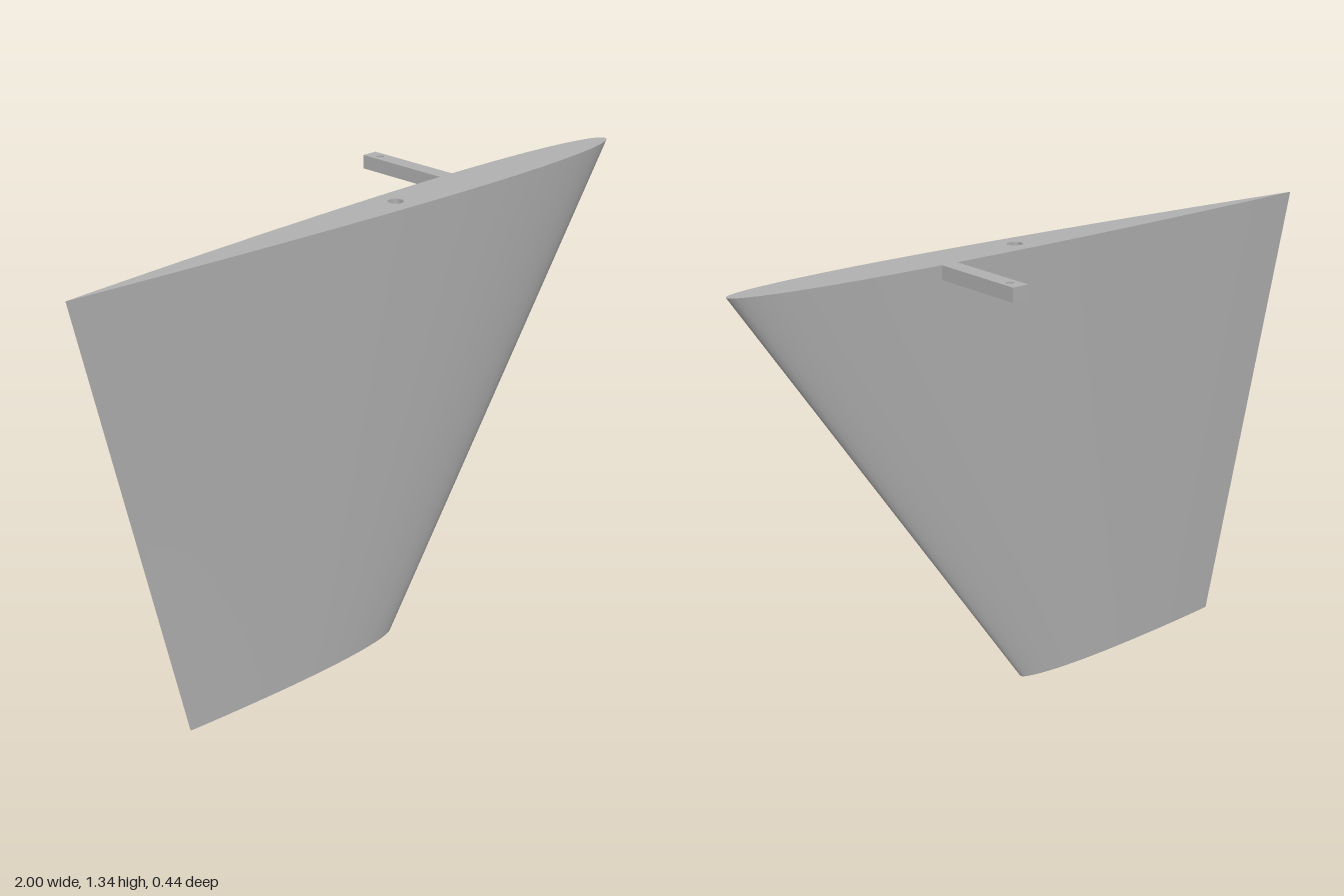
import * as THREE from 'three';
import { toCreasedNormals } from 'three/addons/utils/BufferGeometryUtils.js';

const HEIGHT = 1.335;
const MID_Z = 0.152;
const STEPS = 32;

// Tail and nose of the chord, and the half thickness, at both ends of the blade
const ROOT = { tail: -1, nose: 1, half: 0.07 };
const TIP = { tail: -0.68, nose: 0.095, half: 0.034 };

// Symmetric foil outline: tail, front side, nose, back side, tail
function foil({ tail, nose, half }) {
  const points = [];
  for (let i = -STEPS; i <= STEPS; i++) {
    const s = (1 - Math.cos((Math.PI * (STEPS - Math.abs(i))) / STEPS)) / 2;
    const u = 1 - s; // 0 at the nose, 1 at the tail
    const t = 10 * half * (0.2969 * Math.sqrt(u) - 0.126 * u - 0.3516 * u ** 2
      + 0.2843 * u ** 3 - 0.1036 * u ** 4);
    points.push(new THREE.Vector2(nose + (tail - nose) * u, i < 0 ? t : -t));
  }
  return points;
}

// Smooth skin lofted from tip to root
function skinGeometry() {
  const positions = [], indices = [];
  const tip = foil(TIP), root = foil(ROOT), rows = 8;
  const n = tip.length;
  for (let r = 0; r <= rows; r++) {
    for (let i = 0; i < n; i++) {
      const p = tip[i].clone().lerp(root[i], r / rows);
      positions.push(p.x, (HEIGHT * r) / rows, MID_Z + p.y);
      if (r < rows && i < n - 1) {
        const a = r * n + i, d = a + n;
        indices.push(a, a + 1, d + 1, a, d + 1, d);
      }
    }
  }
  const geometry = new THREE.BufferGeometry();
  geometry.setAttribute('position', new THREE.Float32BufferAttribute(positions, 3));
  geometry.setIndex(indices);
  geometry.computeVertexNormals();
  return geometry;
}

function roundHole(x, y, radius) {
  return new THREE.Path().absarc(x, y, radius, 0, Math.PI * 2);
}

export function createModel() {
  const model = new THREE.Group();
  model.name = 'rudder';
  const grey = new THREE.MeshStandardMaterial({ color: 0xb0b0b0 });
  grey.name = 'grey';

  function add(name, geometry, x = 0, y = 0, z = 0) {
    const mesh = new THREE.Mesh(geometry, grey);
    mesh.name = name;
    mesh.position.set(x, y, z);
    model.add(mesh);
  }

  add('bladeSkin', skinGeometry());

  // Flat ends; the upper one is pierced for the shaft
  const boreX = 0.095, boreRadius = 0.022;
  const rootShape = new THREE.Shape(foil(ROOT).slice(0, -1));
  rootShape.holes.push(roundHole(boreX, 0, boreRadius));
  add('bladeTop', new THREE.ShapeGeometry(rootShape, 16).rotateX(-Math.PI / 2), 0, HEIGHT, MID_Z);
  const tipShape = new THREE.Shape(foil(TIP).slice(0, -1));
  add('bladeBottom', new THREE.ShapeGeometry(tipShape).rotateX(Math.PI / 2), 0, 0, MID_Z);

  // Blind shaft bore, facing inwards
  const bore = new THREE.LatheGeometry([
    new THREE.Vector2(boreRadius, 0),
    new THREE.Vector2(boreRadius, -0.65),
    new THREE.Vector2(0, -0.65),
  ], 32);
  add('shaftBore', toCreasedNormals(bore, 0.6), boreX, HEIGHT, MID_Z);

  // Tiller arm with a linkage hole near its end
  const thickness = 0.04, halfWidth = 0.025, back = 0.222, front = -0.084;
  const armShape = new THREE.Shape([
    new THREE.Vector2(-halfWidth, front),
    new THREE.Vector2(halfWidth, front),
    new THREE.Vector2(halfWidth, back),
    new THREE.Vector2(-halfWidth, back),
  ]);
  armShape.holes.push(roundHole(0, 0.178, 0.01));
  const arm = new THREE.ExtrudeGeometry(armShape, {
    depth: thickness, bevelEnabled: false, curveSegments: 16,
  }).rotateX(-Math.PI / 2);
  add('tillerArm', arm, 0.37, HEIGHT - thickness, 0);

  return model;
}
